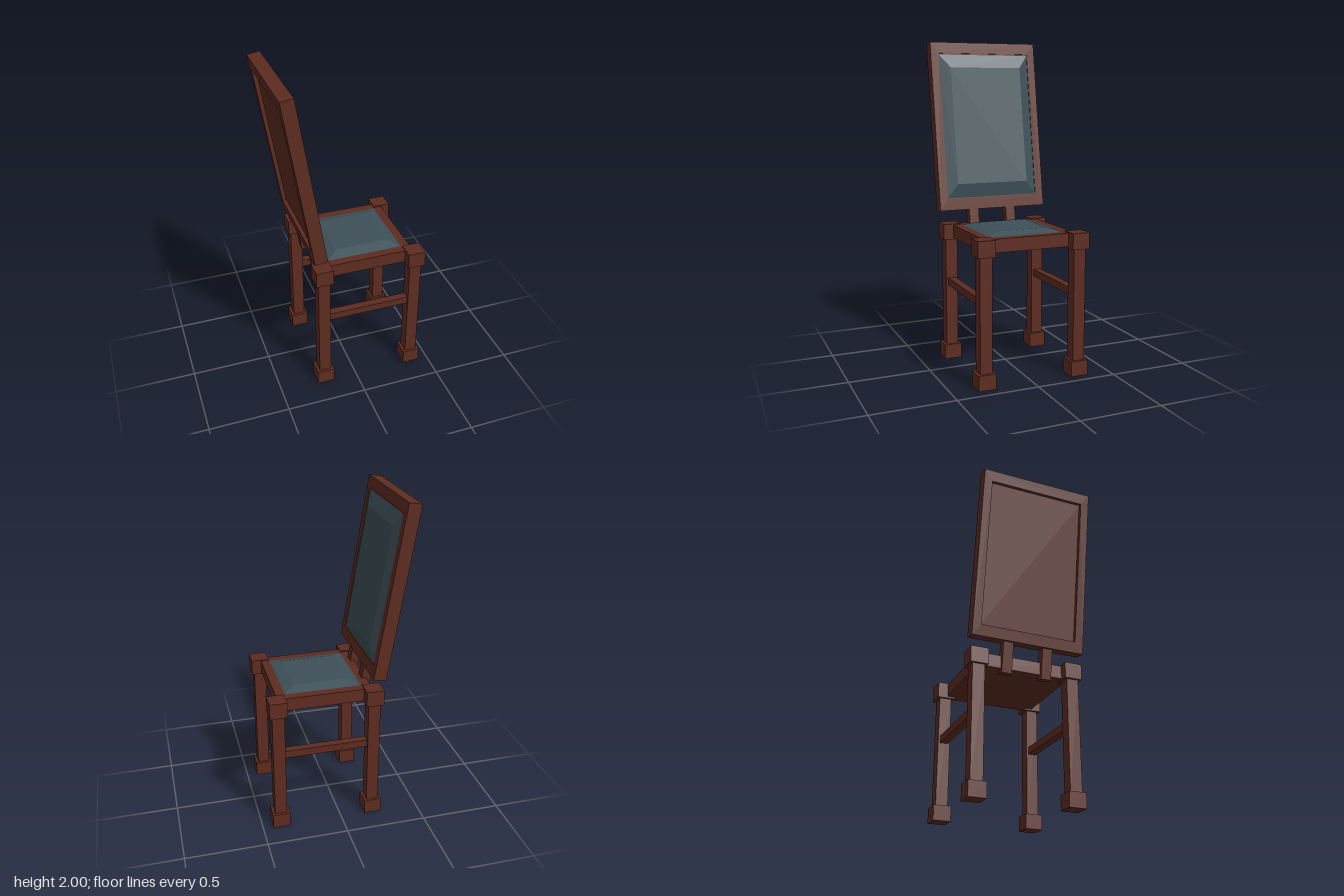
import * as THREE from 'three';

const wood = new THREE.MeshStandardMaterial({ color: 0x5e2c20, flatShading: true });
const fabric = new THREE.MeshStandardMaterial({ color: 0x3d5058, flatShading: true });

function box(parent, name, size, pos) {
  const mesh = new THREE.Mesh(new THREE.BoxGeometry(...size), wood);
  mesh.name = name;
  mesh.position.set(...pos);
  parent.add(mesh);
  return mesh;
}

// Padded panel: a box whose upper (+y) face is drawn inward to form a bevel
function cushion(name, w, h, d, insetX, insetZ) {
  const geo = new THREE.BoxGeometry(w, h, d);
  const p = geo.attributes.position;
  for (let i = 0; i < p.count; i++) {
    if (p.getY(i) > 0) {
      p.setX(i, p.getX(i) - Math.sign(p.getX(i)) * insetX);
      p.setZ(i, p.getZ(i) - Math.sign(p.getZ(i)) * insetZ);
    }
  }
  geo.computeVertexNormals();
  const mesh = new THREE.Mesh(geo, fabric);
  mesh.name = name;
  return mesh;
}

export function createModel() {
  const chair = new THREE.Group();
  chair.name = 'chair';
  const zMid = -0.004;

  // Four legs with square feet and corner blocks
  for (const [end, x] of [['back', -0.206], ['front', 0.383]]) {
    for (const [side, z] of [['Left', 0.293], ['Right', -0.301]]) {
      const leg = new THREE.Group();
      leg.name = `${end}${side}Leg`;
      leg.position.set(x, 0, z);
      box(leg, 'post', [0.075, 0.72, 0.075], [0, 0.43, 0]);
      box(leg, 'foot', [0.108, 0.092, 0.108], [0, 0.046, 0]);
      box(leg, 'cornerBlock', [0.108, 0.098, 0.108], [0, 0.823, 0]);
      chair.add(leg);
    }
  }

  // Side stretchers
  for (const z of [0.293, -0.301])
    box(chair, 'sideStretcher', [0.53, 0.046, 0.05], [0.088, 0.503, z]);

  // Seat board and its cushion
  box(chair, 'seat', [0.583, 0.08, 0.578], [0.0855, 0.825, zMid]);
  const seatPad = cushion('seatCushion', 0.475, 0.022, 0.473, 0.07, 0.07);
  seatPad.position.set(0.0875, 0.875, zMid);
  chair.add(seatPad);

  // Leaning backrest; local y runs up the back, local +x faces forward
  const back = new THREE.Group();
  back.name = 'backrest';
  back.position.set(-0.314, 1.468, 0);
  back.rotation.z = 0.162;
  chair.add(back);

  // Open frame around a thin panel, recessed at the rear
  const rect = (T, w, h) => new T([
    new THREE.Vector2(-w, -h), new THREE.Vector2(w, -h),
    new THREE.Vector2(w, h), new THREE.Vector2(-w, h),
  ]);
  const outline = rect(THREE.Shape, 0.355, 0.53);
  outline.holes.push(rect(THREE.Path, 0.302, 0.46));
  const frameGeo = new THREE.ExtrudeGeometry(outline, { depth: 0.079, bevelEnabled: false });
  frameGeo.translate(0, 0, -0.0395);
  frameGeo.rotateY(Math.PI / 2);
  const frame = new THREE.Mesh(frameGeo, wood);
  frame.name = 'backFrame';
  back.add(frame);
  box(back, 'backPanel', [0.05, 0.94, 0.62], [0.01, 0, 0]);

  const backPad = cushion('backCushion', 0.915, 0.026, 0.612, 0.09, 0.07);
  backPad.rotation.z = -Math.PI / 2;
  backPad.position.set(0.0465, 0, 0);
  back.add(backPad);

  // Two short uprights joining the backrest to the rear of the seat
  for (const z of [0.131, -0.119]) {
    const slat = box(chair, 'backSupport', [0.056, 0.26, 0.063], [-0.212, 0.888, z]);
    slat.rotation.z = 0.162;
  }
  return chair;
}
